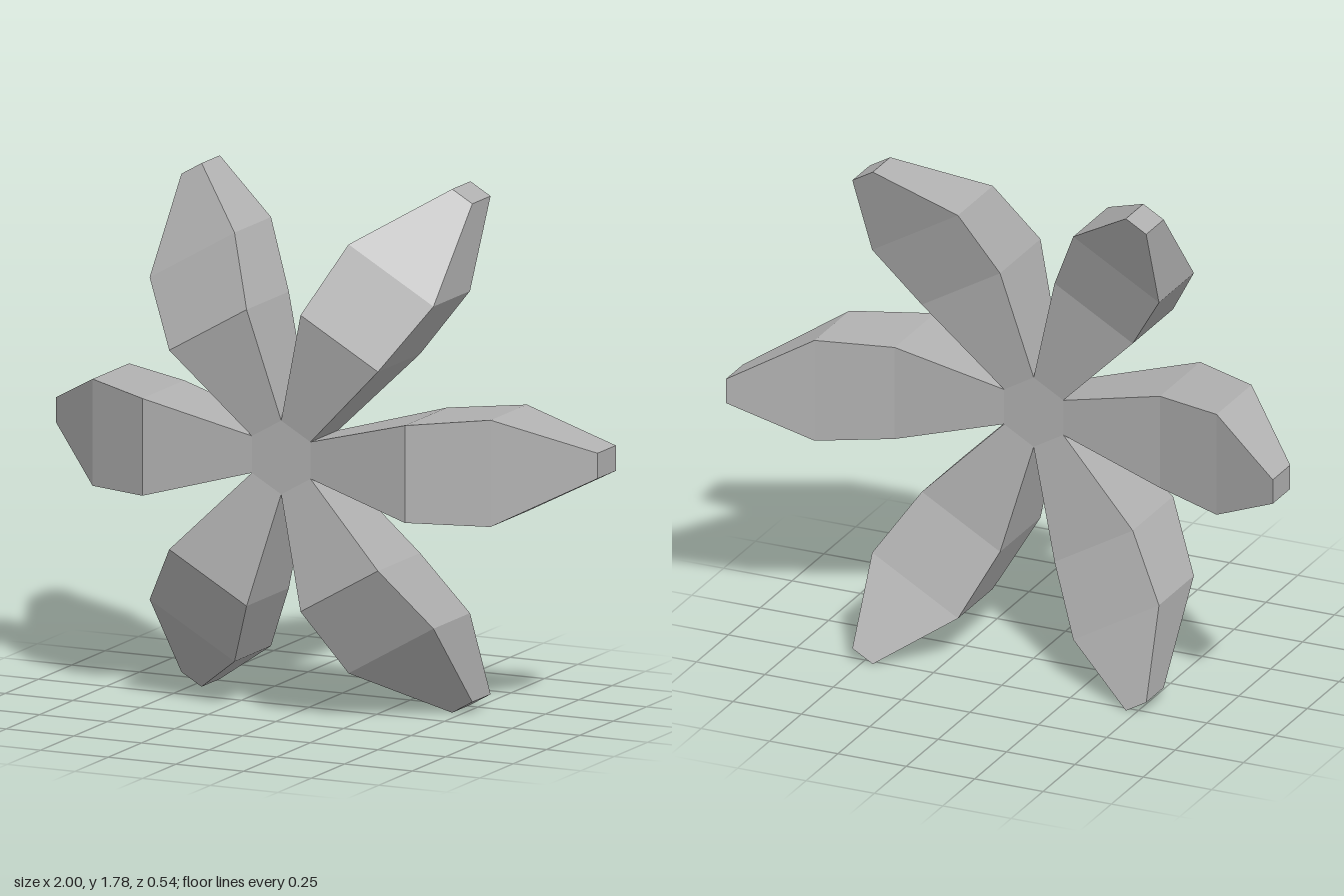
import * as THREE from 'three';

const PETALS = 6;
const CENTRE_Y = 0.888;
const HUB_RADIUS = 0.125;
const HUB_FRONT = 0.21;
const HUB_BACK = 0.0;

// Rectangular cross-sections along a petal: distance out, half width, back z, front z
const SECTIONS = [
  [HUB_RADIUS * Math.cos(Math.PI / 6), HUB_RADIUS / 2, HUB_BACK, HUB_FRONT],
  [0.485, 0.165, -0.05, 0.267],
  [0.735, 0.181, -0.142, 0.132],
  [1.0, 0.043, -0.27, -0.133],
];

// Petal pointing along +x, lofted through the sections and closed at the tip
function petalGeometry() {
  const positions = [];
  const quad = (a, b, c, d) => positions.push(...a, ...b, ...c, ...a, ...c, ...d);
  const rings = SECTIONS.map(([r, w, back, front]) => [
    [r, -w, front], [r, w, front], [r, w, back], [r, -w, back],
  ]);
  for (let i = 0; i < rings.length - 1; i++) {
    for (let j = 0; j < 4; j++) {
      const k = (j + 1) % 4;
      quad(rings[i][j], rings[i + 1][j], rings[i + 1][k], rings[i][k]);
    }
  }
  const tip = rings[rings.length - 1];
  quad(tip[0], tip[3], tip[2], tip[1]);

  const geometry = new THREE.BufferGeometry();
  geometry.setAttribute('position', new THREE.Float32BufferAttribute(positions, 3));
  geometry.computeVertexNormals();
  return geometry;
}

export function createModel() {
  const model = new THREE.Group();
  model.name = 'flower';

  const grey = new THREE.MeshStandardMaterial({ color: 0xb0b0b0, flatShading: true });
  grey.name = 'grey';

  // Six identical petals around the hub
  const petal = petalGeometry();
  for (let i = 0; i < PETALS; i++) {
    const mesh = new THREE.Mesh(petal, grey);
    mesh.name = `petal${i + 1}`;
    mesh.rotation.z = (i * Math.PI * 2) / PETALS;
    mesh.position.y = CENTRE_Y;
    model.add(mesh);
  }

  // Hexagonal hub faces, front and back; the petal roots close the sides
  const hexagon = new THREE.CircleGeometry(HUB_RADIUS, PETALS, Math.PI / 2);
  const hubFront = new THREE.Mesh(hexagon, grey);
  hubFront.name = 'hubFront';
  hubFront.position.set(0, CENTRE_Y, HUB_FRONT);
  const hubBack = new THREE.Mesh(hexagon, grey);
  hubBack.name = 'hubBack';
  hubBack.position.set(0, CENTRE_Y, HUB_BACK);
  hubBack.rotation.y = Math.PI;
  model.add(hubFront, hubBack);

  return model;
}
